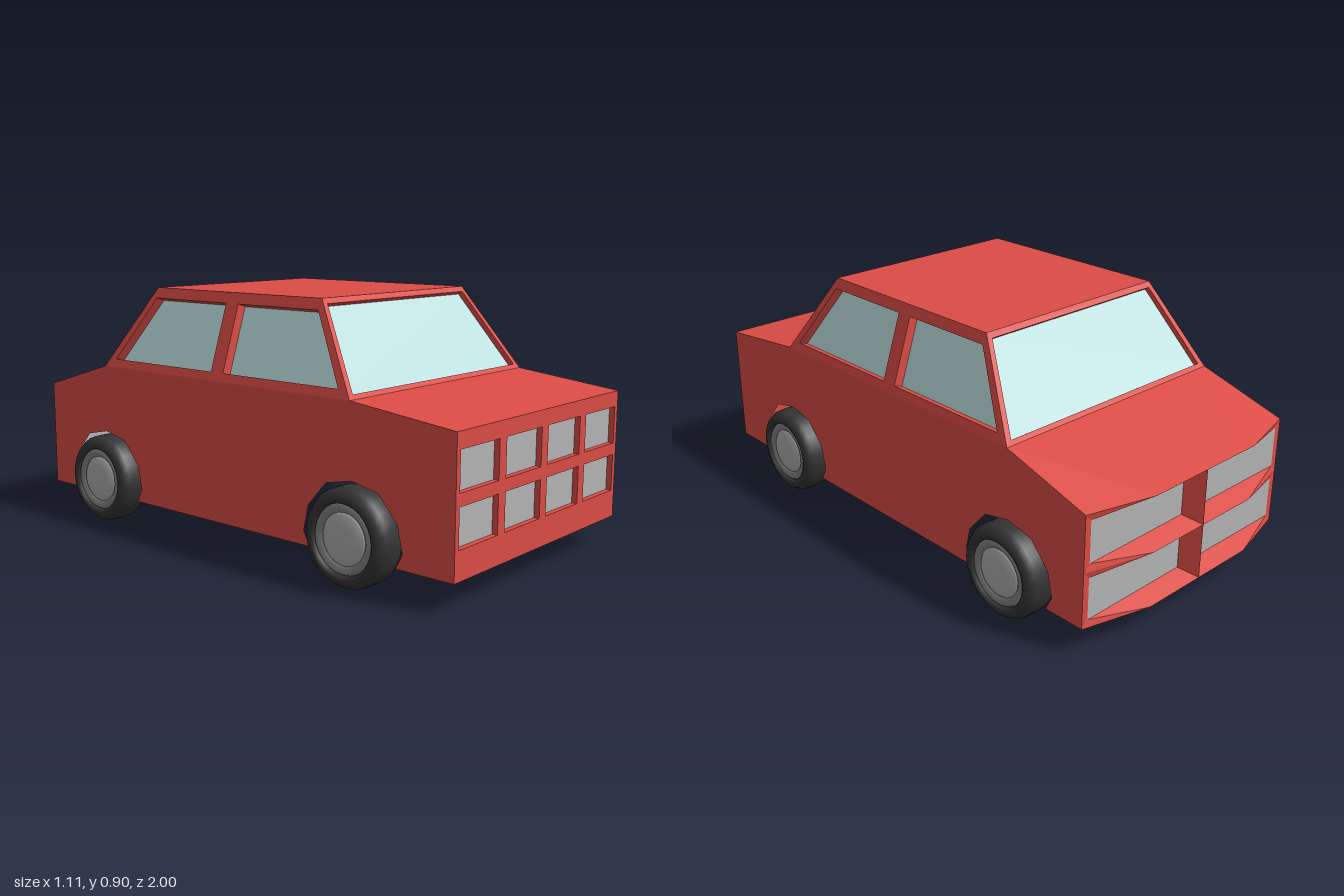
import * as THREE from 'three';

const mat = (name, color) => {
  const m = new THREE.MeshStandardMaterial({ color, side: THREE.DoubleSide });
  m.name = name;
  return m;
};

export function createModel() {
  const car = new THREE.Group();
  car.name = 'car';
  const red = mat('red paint', 0xdc4c46);
  const glass = mat('pale glass', 0xbfe2e2);
  const grey = mat('lamp grey', 0xb4b4b4);
  const rubber = mat('tyre black', 0x343434);
  const rim = mat('rim grey', 0x848484);
  const cap = mat('hubcap grey', 0xb0b0b0);

  const add = (name, geometry, material, parent = car) => {
    const mesh = new THREE.Mesh(geometry, material);
    mesh.name = name;
    parent.add(mesh);
    return mesh;
  };

  // Flat-shaded geometry from a list of convex faces, each a loop of points
  const faces = (loops) => {
    const p = [];
    for (const l of loops)
      for (let i = 1; i < l.length - 1; i++) p.push(...l[0], ...l[i], ...l[i + 1]);
    const g = new THREE.BufferGeometry();
    g.setAttribute('position', new THREE.Float32BufferAttribute(p, 3));
    g.computeVertexNormals();
    return g;
  };

  const toShape = (pts) => new THREE.Shape(pts.map(([a, b]) => new THREE.Vector2(a, b)));

  // Sheet-metal panel with openings: each opening gets a reveal and a recessed pane
  const panel = (name, outline, origin, u, v, inward, holes = [], depth = 0, paneName = '', paneMat = glass) => {
    const U = new THREE.Vector3(...u), V = new THREE.Vector3(...v);
    const N = new THREE.Vector3(...inward).normalize();
    const basis = new THREE.Matrix4().makeBasis(U, V, N).setPosition(...origin);
    const place = (shape, d) => {
      const g = new THREE.ShapeGeometry(shape).toNonIndexed();
      g.translate(0, 0, d).applyMatrix4(basis);
      g.computeVertexNormals();
      return g;
    };
    const sheet = toShape(outline);
    sheet.holes = holes.map(toShape);
    add(name, place(sheet, 0), red);
    const at = ([a, b], d) => new THREE.Vector3(a, b, d).applyMatrix4(basis).toArray();
    for (const h of holes) {
      add(name + 'Reveal', faces(h.map((p, i) => {
        const q = h[(i + 1) % h.length];
        return [at(p, 0), at(q, 0), at(q, depth), at(p, depth)];
      })), red);
      add(paneName, place(toShape(h), depth), paneMat);
    }
  };

  // Lower sides with wheel arches cut into the bottom edge
  const arch = [[-0.175, 0.1], [-0.2, 0.15], [-0.18, 0.24], [-0.105, 0.325], [0, 0.347],
    [0.105, 0.325], [0.18, 0.24], [0.2, 0.15], [0.175, 0.1]];
  const archAt = (z) => arch.map(([a, b]) => [a + z, b]);
  const sideOutline = [[-0.935, 0.1], ...archAt(-0.605), ...archAt(0.61),
    [1, 0.1], [1, 0.555], [0.6, 0.6], [-0.6, 0.6], [-0.935, 0.5]];

  // Cabin side and its two windows, heights measured from the waistline
  const cabinSide = [[-0.6, 0], [0.6, 0], [0.4, 0.3], [-0.4, 0.3]];
  const sideWindows = [1, -1].map((f) =>
    [[0.03, 0.03], [0.545, 0.03], [0.395, 0.262], [0.03, 0.262]].map(([a, b]) => [a * f, b]));

  for (const s of [1, -1]) {
    panel('bodySide', sideOutline, [s * 0.5, 0, 0], [0, 0, 1], [0, 1, 0], [-s, 0, 0]);
    panel('cabinSide', cabinSide, [s * 0.5, 0.6, 0], [0, 0, 1], [-s / 3, 1, 0], [-3 * s, -1, 0],
      sideWindows, 0.035, 'sideWindow');
    // Windscreen (s = 1) and rear window (s = -1)
    panel(s > 0 ? 'windscreenFrame' : 'rearWindowFrame',
      [[-0.5, 0], [0.5, 0], [0.4, 0.3], [-0.4, 0.3]],
      [0, 0.6, s * 0.6], [1, 0, 0], [0, 1, -s * 2 / 3], [0, -2, -3 * s],
      [[[-0.472, 0.015], [0.472, 0.015], [0.386, 0.282], [-0.386, 0.282]]], 0.02,
      s > 0 ? 'windscreen' : 'rearWindow');
  }

  // Front face with two rows of four recessed lamps
  const lamps = [];
  for (let i = 0; i < 4; i++)
    for (const y of [0.198, 0.37]) {
      const x = -0.48 + i * 0.25;
      lamps.push([[x, y], [x + 0.21, y], [x + 0.21, y + 0.13], [x, y + 0.13]]);
    }
  panel('frontFace', [[-0.5, 0.1], [0.5, 0.1], [0.5, 0.555], [-0.5, 0.555]],
    [0, 0, 1], [1, 0, 0], [0, 1, 0], [0, 0, -1], lamps, 0.02, 'frontLamp', grey);

  // Roof, bonnet and boot lid
  add('roof', faces([[[-0.4, 0.9, 0.4], [0.4, 0.9, 0.4], [0.4, 0.9, -0.4], [-0.4, 0.9, -0.4]]]), red);
  add('bonnet', faces([[[-0.5, 0.555, 1], [0.5, 0.555, 1], [0.5, 0.6, 0.6], [-0.5, 0.6, 0.6]]]), red);
  add('bootLid', faces([
    [[-0.5, 0.6, -0.6], [0.5, 0.6, -0.6], [0.25, 0.5, -1], [-0.25, 0.5, -1]],
    ...[1, -1].map((s) => [[s * 0.5, 0.6, -0.6], [s * 0.5, 0.5, -0.935], [s * 0.25, 0.5, -1]]),
  ]), red);

  // Bowed tail: four cells sloping inward to flat lamps
  const zLamp = -0.935;
  for (const s of [1, -1])
    for (const y of [0.1, 0.3]) {
      const lo = y + 0.025, hi = y + 0.175, top = y + 0.2;
      const xi = s * 0.035, xm = s * 0.25, xo = s * 0.475;
      const ledge = (yo, yl) => [
        [[0, yo, -1], [xm, yo, -1], [xm, yl, zLamp], [xi, yl, zLamp]],
        [[xm, yo, -1], [s * 0.5, yo, -0.935], [xo, yl, zLamp], [xm, yl, zLamp]],
      ];
      add('tailFrame', faces([
        ...ledge(y, lo), ...ledge(top, hi),
        [[0, y, -1], [0, top, -1], [xi, hi, zLamp], [xi, lo, zLamp]],
        [[s * 0.5, y, -0.935], [s * 0.5, top, -0.935], [xo, hi, zLamp], [xo, lo, zLamp]],
      ]), red);
      add('tailLamp', faces([[[xi, lo, zLamp], [xo, lo, zLamp], [xo, hi, zLamp], [xi, hi, zLamp]]]), grey);
    }

  // Wheels: profiles are [radius, distance outward from the car's centre line]
  const lathe = (pts) => new THREE.LatheGeometry(pts.map(([r, h]) => new THREE.Vector2(r, h)), 28);
  const tyre = lathe([[0, 0.46], [0.085, 0.45], [0.095, 0.395], [0.118, 0.395], [0.125, 0.425],
    [0.152, 0.438], [0.164, 0.455], [0.165, 0.49], [0.163, 0.525], [0.15, 0.545],
    [0.13, 0.553], [0.118, 0.548], [0.115, 0.53]]);
  const rimDisc = lathe([[0.118, 0.535], [0.112, 0.545], [0.095, 0.543], [0.085, 0.535]]);
  const hubcap = lathe([[0.088, 0.535], [0.08, 0.543], [0.05, 0.548], [0, 0.55]]);
  for (const s of [1, -1])
    for (const z of [0.61, -0.605]) {
      const wheel = new THREE.Group();
      wheel.name = z > 0 ? 'frontWheel' : 'rearWheel';
      wheel.position.set(0, 0.167, z);
      wheel.rotation.z = -s * Math.PI / 2;
      add('tyre', tyre, rubber, wheel);
      add('rim', rimDisc, rim, wheel);
      add('hubcap', hubcap, cap, wheel);
      car.add(wheel);
    }

  return car;
}
